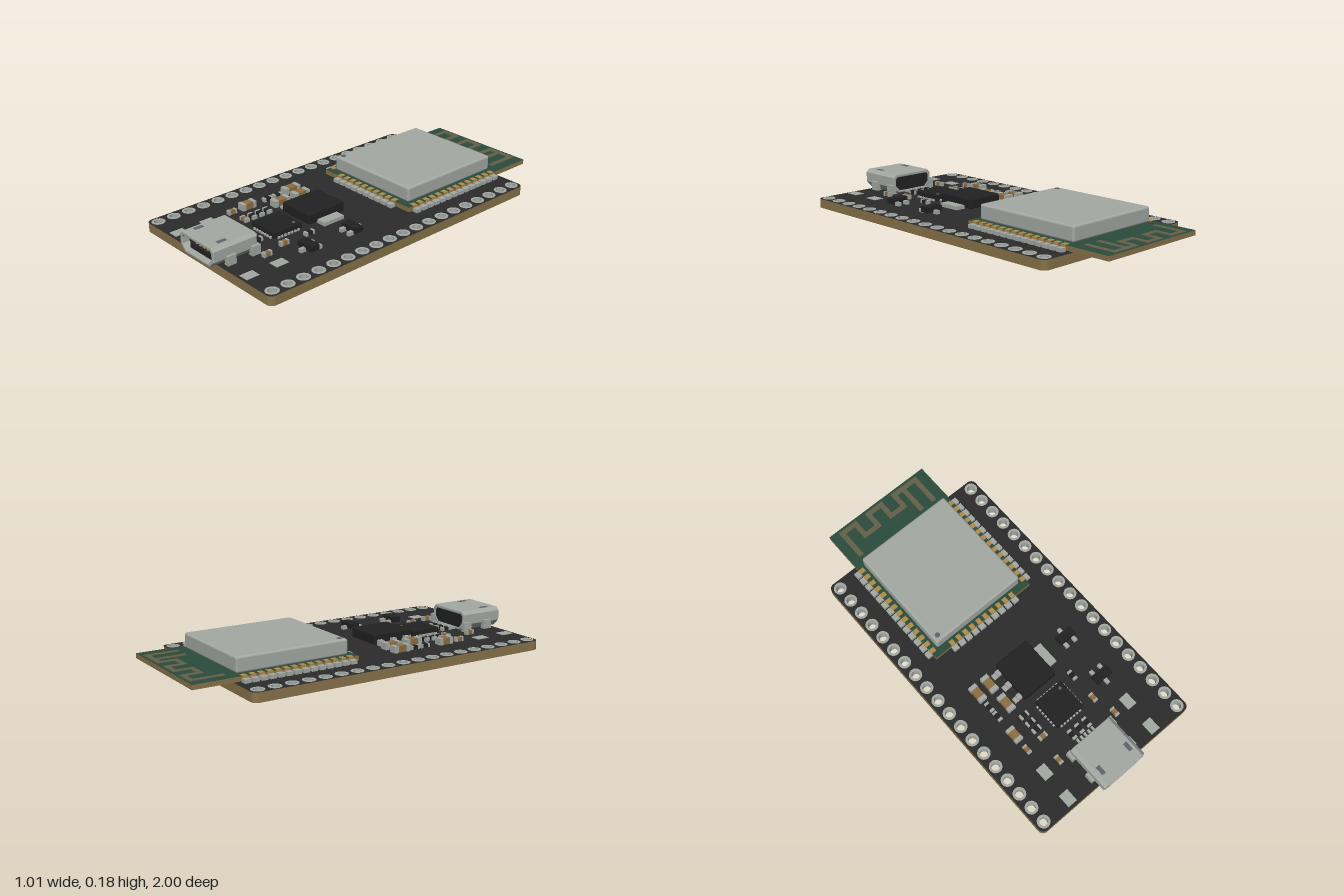
import * as THREE from 'three';
import { RoundedBoxGeometry } from 'three/addons/geometries/RoundedBoxGeometry.js';

const mat = (name, color) => Object.assign(new THREE.MeshStandardMaterial({ color }), { name });

export function createModel() {
  const root = new THREE.Group();
  root.name = 'microcontrollerBoard';
  const black = mat('solder mask black', 0x2b2b2c);
  const tan = mat('board edge tan', 0x87734a);
  const silver = mat('metal silver', 0xa4a9a4);
  const green = mat('module green', 0x2b4c3c);
  const gold = mat('gold', 0xb08d48);
  const brown = mat('capacitor brown', 0x8d6f42);
  const plastic = mat('package black', 0x222223);
  const olive = mat('antenna olive', 0x635f49);
  const grey = mat('marking grey', 0x60646a);
  const TOP = 0.06, BOT = 0.01;

  const add = (name, geo, m, x = 0, y = 0, z = 0, parent = root) => {
    const mesh = new THREE.Mesh(geo, m);
    mesh.name = name;
    mesh.position.set(x, y, z);
    parent.add(mesh);
    return mesh;
  };
  // Box given by its x, y and z ranges
  const box = (name, m, x0, x1, y0, y1, z0, z1, parent) =>
    add(name, new THREE.BoxGeometry(x1 - x0, y1 - y0, z1 - z0), m,
      (x0 + x1) / 2, (y0 + y1) / 2, (z0 + z1) / 2, parent);
  const group = (name) => {
    const g = new THREE.Group();
    g.name = name;
    root.add(g);
    return g;
  };
  // Plate lying flat: shape drawn in x and -z, extruded upward
  const slab = (name, shape, m, y0, y1, parent) => {
    const geo = new THREE.ExtrudeGeometry(shape, { depth: y1 - y0, bevelEnabled: false, curveSegments: 8 });
    geo.rotateX(-Math.PI / 2);
    return add(name, geo, m, 0, y0, 0, parent);
  };
  const roundRect = (x0, x1, z0, z1, r) => {
    const s = new THREE.Shape();
    s.absarc(x1 - r, -z0 - r, r, 0, Math.PI / 2);
    s.absarc(x0 + r, -z0 - r, r, Math.PI / 2, Math.PI);
    s.absarc(x0 + r, -z1 + r, r, Math.PI, 1.5 * Math.PI);
    s.absarc(x1 - r, -z1 + r, r, 1.5 * Math.PI, 2 * Math.PI);
    return s;
  };
  const circle = (C, x, z, r) => new C().absarc(x, -z, r, 0, 2 * Math.PI);

  // Main board with two rows of plated holes
  const outline = roundRect(-0.505, 0.505, -0.78, 0.96, 0.032);
  const pins = group('pinHoles');
  for (const x of [-0.46, 0.46]) {
    for (let i = 0; i < 19; i++) {
      const z = -0.735 + i * 0.0917;
      outline.holes.push(circle(THREE.Path, x, z, 0.03));
      const ring = circle(THREE.Shape, x, z, 0.035);
      ring.holes.push(circle(THREE.Path, x, z, 0.022));
      slab('pinHole', ring, silver, BOT - 0.002, TOP + 0.002, pins);
    }
  }
  slab('mainBoard', outline, [black, tan], BOT, TOP);

  // Wireless module: carrier, shield can, antenna trace, edge pads
  const radio = group('radioModule');
  const carrier = roundRect(-0.325, 0.325, -1, -0.085, 0.002);
  slab('moduleBoard', carrier, [green, tan], 0.065, 0.09, radio);
  add('shieldCan', new RoundedBoxGeometry(0.566, 0.083, 0.628, 3, 0.012), silver, -0.002, 0.1325, -0.437, radio);
  add('shieldMark', new THREE.CylinderGeometry(0.014, 0.014, 0.003, 16), grey, -0.254, 0.1745, -0.155, radio);
  const trace = (x0, x1, z0, z1) => box('antennaTrace', olive, x0, x1, 0.089, 0.0925, z0, z1, radio);
  const W = 0.029;
  for (const [x, z] of [[-0.272, -0.8], [-0.182, -0.868], [-0.092, -0.868], [-0.002, -0.868],
    [0.088, -0.868], [0.15, -0.8], [0.237, -0.8]]) trace(x, x + W, -0.985, z);
  for (const [x0, x1] of [[-0.243, -0.182], [-0.063, -0.002], [0.117, 0.15], [0.179, 0.237]])
    trace(x0, x1, -0.985, -0.957);
  for (const x of [-0.153, 0.027]) trace(x, x + 0.061, -0.896, -0.868);
  for (const s of [-1, 1]) {
    for (let i = 0; i < 14; i++) {
      const z = -0.728 + i * 0.0459;
      add('edgePad', new THREE.BoxGeometry(0.03, 0.031, 0.026), gold, s * 0.312, 0.0775, z, radio);
      add('solderJoint', new THREE.BoxGeometry(0.032, 0.022, 0.034), silver, s * 0.339, 0.069, z, radio);
    }
  }
  for (let i = 0; i < 10; i++) {
    const x = -0.2066 + i * 0.0459;
    add('edgePad', new THREE.BoxGeometry(0.026, 0.031, 0.03), gold, x, 0.0775, -0.098, radio);
    add('solderJoint', new THREE.BoxGeometry(0.034, 0.022, 0.032), silver, x, 0.069, -0.071, radio);
  }

  // Voltage regulator with heat tab and three legs
  const reg = group('regulator');
  add('regulatorBody', new RoundedBoxGeometry(0.21, 0.055, 0.235, 1, 0.006), plastic, -0.015, 0.0925, 0.268, reg);
  box('regulatorTab', silver, 0.085, 0.146, TOP, 0.08, 0.203, 0.332, reg);
  for (const z of [0.185, 0.268, 0.351]) {
    box('regulatorLeg', silver, -0.166, -0.135, TOP, 0.072, z - 0.015, z + 0.015, reg);
    box('regulatorLeg', silver, -0.143, -0.118, TOP, 0.09, z - 0.015, z + 0.015, reg);
  }

  // Square interface chip with contacts on four sides
  const chip = group('interfaceChip');
  box('chipBody', plastic, -0.09, 0.086, 0.062, 0.094, 0.43, 0.605, chip);
  add('chipMark', new THREE.CylinderGeometry(0.009, 0.009, 0.003, 12), grey, 0.056, 0.094, 0.458, chip);
  for (let i = 0; i < 7; i++) {
    const d = (i - 3) * 0.021;
    for (const s of [-1, 1]) {
      add('chipContact', new THREE.BoxGeometry(0.012, 0.01, 0.012), silver, -0.002 + d, 0.065, 0.5175 + s * 0.091, chip);
      add('chipContact', new THREE.BoxGeometry(0.012, 0.01, 0.012), silver, -0.002 + s * 0.091, 0.065, 0.5175 + d, chip);
    }
  }

  // Small transistors with three legs
  for (const [z, s] of [[0.26, 1], [0.543, -1]]) {
    const t = group('transistor');
    box('transistorBody', plastic, 0.222, 0.322, 0.068, 0.098, z - 0.026, z + 0.026, t);
    for (const [x, side] of [[0.272, -s], [0.244, s], [0.3, s]])
      add('transistorLeg', new THREE.BoxGeometry(0.02, 0.02, 0.032), silver, x, 0.07, z + side * 0.039, t);
  }

  // Chip capacitors and resistors: body with two metal ends
  const part = (name, m, x, z, length, width, height, alongX = false) => {
    const g = group(name);
    g.position.set(x, TOP + height / 2, z);
    if (alongX) g.rotation.y = Math.PI / 2;
    add(name + 'Body', new THREE.BoxGeometry(width * 0.95, height * 0.95, length * 0.6), m, 0, 0, 0, g);
    for (const s of [-1, 1])
      add('metalEnd', new THREE.BoxGeometry(width, height, length * 0.24), silver, 0, 0, s * length * 0.38, g);
  };
  for (const [x, z, l] of [[-0.283, 0.2, 0.098], [-0.204, 0.2, 0.098], [-0.204, 0.334, 0.1], [-0.283, 0.489, 0.085]])
    part('capacitor', brown, x, z, l, 0.046, 0.036);
  for (const [x, z] of [[-0.283, 0.588], [-0.196, 0.732], [0.19, 0.732], [0.158, 0.603]])
    part('smallCapacitor', brown, x, z, 0.05, 0.024, 0.024);
  for (const [x, z] of [[-0.283, 0.293], [-0.283, 0.357], [0.158, 0.443], [-0.056, 0.678], [-0.006, 0.678], [0.044, 0.678]])
    part('resistor', plastic, x, z, 0.056, 0.025, 0.02);
  for (let i = 0; i < 4; i++)
    part('resistor', i === 3 ? brown : plastic, -0.176, 0.443 + i * 0.048, 0.05, 0.028, 0.02, true);

  // Bare solder pads for buttons
  for (const x of [-0.29, 0.283])
    for (const z of [0.732, 0.907])
      box('buttonPad', silver, x - 0.028, x + 0.028, 0.059, 0.063, z - 0.037, z + 0.037);

  // USB socket: chamfered metal shell, insulator, tongue, tabs and pegs
  const usb = group('usbSocket');
  const profile = (C, w, y0, y1, low, high) => new C([
    [w - low, y0], [w, y0 + low], [w, y1 - high], [w - high, y1],
    [high - w, y1], [-w, y1 - high], [-w, y0 + low], [low - w, y0],
  ].map(([x, y]) => new THREE.Vector2(x, y)));
  const shell = profile(THREE.Shape, 0.13, 0.066, 0.164, 0.032, 0.015);
  shell.holes.push(profile(THREE.Path, 0.121, 0.071, 0.155, 0.03, 0.014));
  add('usbShell', new THREE.ExtrudeGeometry(shell, {
    depth: 0.245, bevelThickness: 0.005, bevelSize: 0.005, bevelSegments: 2,
  }), silver, 0, 0, 0.75, usb);
  const plug = profile(THREE.Shape, 0.12, 0.072, 0.154, 0.03, 0.014);
  add('usbInsulator', new THREE.ExtrudeGeometry(plug, { depth: 0.06, bevelEnabled: false }), plastic, 0, 0, 0.747, usb);
  const lining = profile(THREE.Shape, 0.1165, 0.0755, 0.1505, 0.03, 0.014);
  lining.holes.push(profile(THREE.Path, 0.113, 0.079, 0.147, 0.029, 0.013));
  add('usbLining', new THREE.ExtrudeGeometry(lining, { depth: 0.16, bevelEnabled: false }), plastic, 0, 0, 0.8, usb);
  box('usbTongue', plastic, -0.088, 0.088, 0.083, 0.107, 0.8, 0.975, usb);
  for (let i = -2; i <= 2; i++) {
    box('usbContact', gold, i * 0.03 - 0.007, i * 0.03 + 0.007, 0.106, 0.11, 0.81, 0.96, usb);
    box('usbPin', silver, i * 0.025 - 0.006 - 0.004, i * 0.025 + 0.006 - 0.004, TOP, 0.075, 0.712, 0.755, usb);
  }
  for (const s of [-1, 1]) {
    for (const z of [0.762, 0.905]) {
      add('usbTab', new THREE.BoxGeometry(0.026, 0.05, 0.05), silver, s * 0.138, 0.085, z, usb);
      add('usbPeg', new THREE.BoxGeometry(0.034, 0.062, 0.042), silver, s * 0.13, 0.031, z, usb);
    }
    box('usbLatchSlot', grey, s * 0.092 - 0.011, s * 0.092 + 0.011, 0.167, 0.1705, 0.895, 0.945, usb);
  }

  // Small vias on the underside
  for (const [x, z] of [[0.325, -0.09], [0.36, -0.28], [0.35, -0.6], [0.24, -0.25], [0.32, 0.24],
    [0.34, 0.47], [-0.325, 0.18], [-0.32, 0.8], [-0.34, -0.31]])
    add('via', new THREE.CylinderGeometry(0.009, 0.009, 0.003, 10), grey, x, BOT - 0.001, z);

  return root;
}
